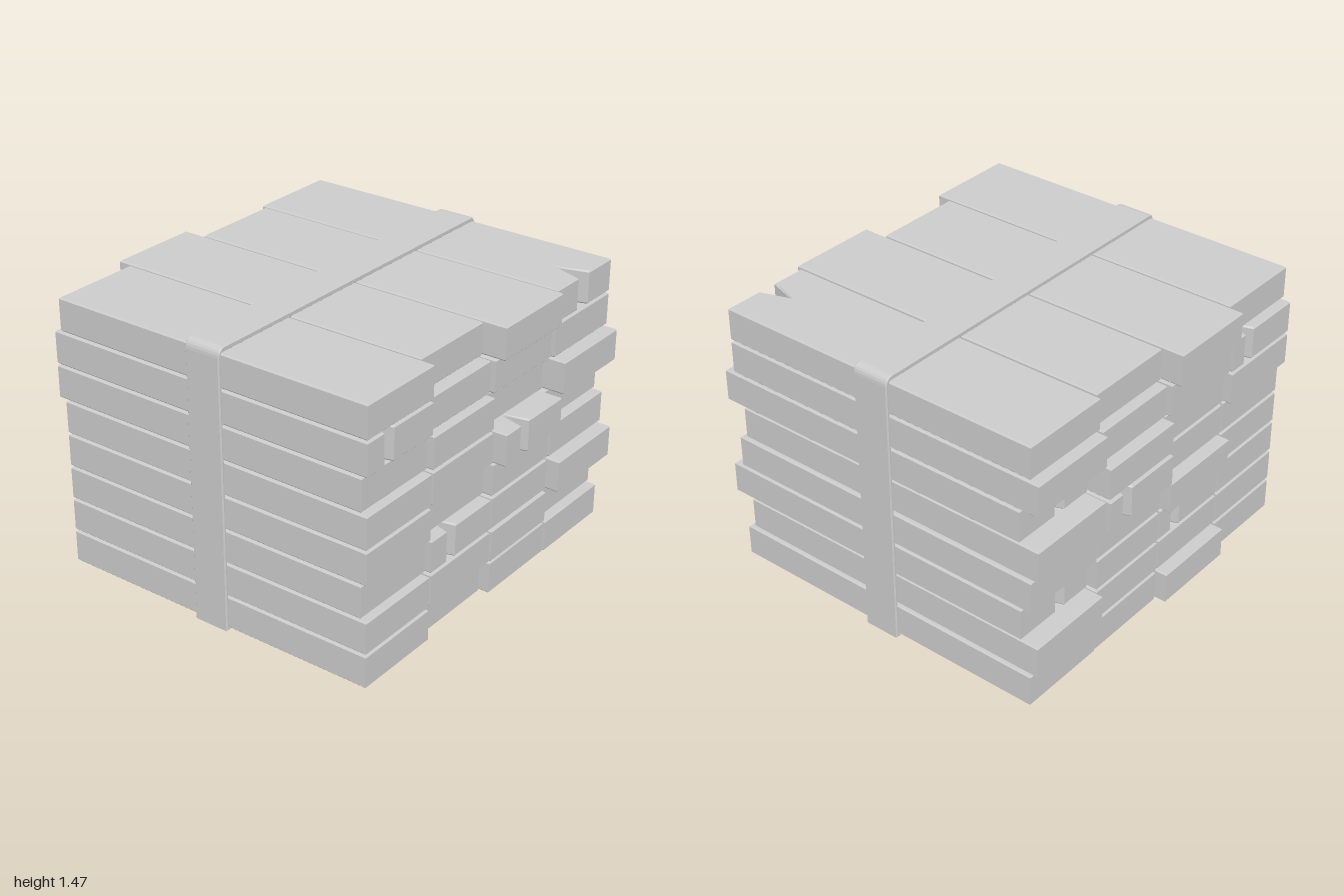
import * as THREE from 'three';

const mat = new THREE.MeshStandardMaterial({ color: 0xcccccc });
const BEVEL = 0.008, PLANK_W = 0.482, PLANK_H = 0.174, PITCH = 0.1797;
const COLUMN_X = [-0.745, -0.25, 0.245, 0.74];

// One plank: plan outline from back to front, with optional wedge splits in the ends.
// A split is [offset from the plank's middle, mouth width, depth].
function plankGeometry(front, back, frontSplit, backSplit) {
  const w = PLANK_W / 2;
  const s = new THREE.Shape();
  s.moveTo(-w, -front);
  if (frontSplit) {
    const [c, m, d] = frontSplit;
    s.lineTo(c - m / 2, -front);
    s.lineTo(c, -front + d);
    s.lineTo(c + m / 2, -front);
  }
  s.lineTo(w, -front);
  s.lineTo(w, -back);
  if (backSplit) {
    const [c, m, d] = backSplit;
    s.lineTo(c + m / 2, -back);
    s.lineTo(c, -back - d);
    s.lineTo(c - m / 2, -back);
  }
  s.lineTo(-w, -back);
  s.closePath();
  const g = new THREE.ExtrudeGeometry(s, {
    depth: PLANK_H - 2 * BEVEL, bevelEnabled: true, bevelSegments: 1,
    bevelThickness: BEVEL, bevelSize: BEVEL, bevelOffset: -BEVEL,
  });
  g.translate(0, 0, -PLANK_H / 2 + BEVEL);
  g.rotateX(-Math.PI / 2);
  return g;
}

// Front and back ends of every plank, per column, bottom row first
const ENDS = [
  [[0.9, -0.89], [0.9, -0.89], [0.87, -0.89], [0.9, -0.89],
    [0.9, -0.89], [0.87, -0.93], [0.9, -0.93], [0.9, -0.89]],
  [[0.85, -0.945], [0.9, -0.89], [0.9, -0.89], [0.85, -0.945],
    [0.9, -0.89], [0.9, -0.89], [0.87, -0.92], [0.82, -0.97]],
  [[0.9, -0.89], [0.905, -0.89], [0.9, -0.89], [0.9, -0.89],
    [0.965, -0.955], [0.85, -0.95], [0.89, -0.9], [0.94, -0.86]],
  [[0.905, -0.895], [0.865, -0.93], [0.965, -0.84], [0.905, -0.895],
    [0.865, -0.93], [0.965, -0.83], [0.905, -0.935], [0.905, -0.89]],
];

// Split ends, keyed by column and row
const FRONT = { '3,7': [-0.01, 0.1, 0.16], '0,6': [-0.085, 0.07, 0.14],
  '2,4': [-0.085, 0.07, 0.14], '1,2': [-0.085, 0.07, 0.14] };
const BACK = { '0,6': [0.115, 0.07, 0.1], '2,4': [0.115, 0.07, 0.1],
  '1,2': [0.115, 0.07, 0.1], '3,5': [-0.04, 0.07, 0.1], '3,2': [-0.04, 0.07, 0.1] };

// Rectangle with rounded upper corners, for the strap outline
function strapOutline(path, w, y0, y1, r) {
  path.moveTo(-w, y0);
  path.lineTo(w, y0);
  path.lineTo(w, y1 - r);
  path.quadraticCurveTo(w, y1, w - r, y1);
  path.lineTo(-w + r, y1);
  path.quadraticCurveTo(-w, y1, -w, y1 - r);
  path.closePath();
  return path;
}

export function createModel() {
  const model = new THREE.Group();
  model.name = 'plankBundle';

  // Stacked planks
  const planks = new THREE.Group();
  planks.name = 'planks';
  ENDS.forEach((column, c) => column.forEach(([front, back], r) => {
    const key = `${c},${r}`;
    const plank = new THREE.Mesh(plankGeometry(front, back, FRONT[key], BACK[key]), mat);
    plank.name = 'plank';
    const nudge = c === 3 && (r === 1 || r === 4) ? -0.008 : 0;
    plank.position.set(COLUMN_X[c] + nudge, 0.1 + r * PITCH, 0);
    planks.add(plank);
  }));
  model.add(planks);

  // Strap wrapped around the bundle
  const outline = strapOutline(new THREE.Shape(), 1, 0, 1.47, 0.05);
  outline.holes.push(strapOutline(new THREE.Path(), 0.98, 0.02, 1.44, 0.02));
  const strapGeo = new THREE.ExtrudeGeometry(outline, {
    depth: 0.184, bevelEnabled: true, bevelSegments: 1, curveSegments: 6,
    bevelThickness: 0.006, bevelSize: 0.006, bevelOffset: -0.006,
  });
  strapGeo.translate(0, 0, -0.092);
  const strap = new THREE.Mesh(strapGeo, mat);
  strap.name = 'strap';
  model.add(strap);

  return model;
}
